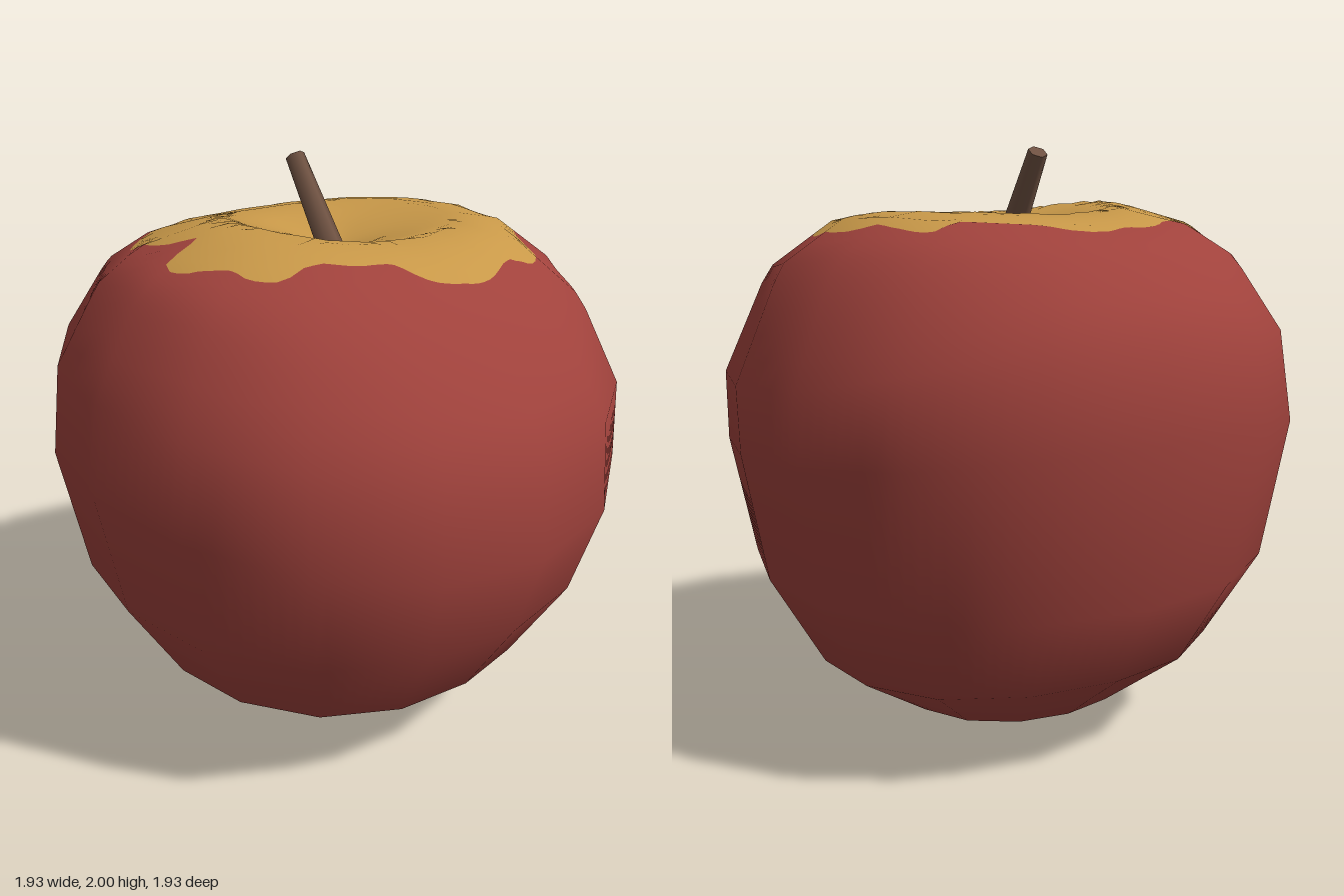
import * as THREE from 'three';

const TAU = Math.PI * 2, SIDES = 16, COLS = 128, LAST = 11;

// Profiles [radius, height] from the bottom hollow to the top hollow, one per side.
const leftSide = [[0, .07], [.23, .005], [.43, .1], [.7, .28], [.88, .6], [.955, 1.03], [.96, 1.25], [.8, 1.62], [.58, 1.77], [.42, 1.79], [.15, 1.74], [0, 1.68]];
const rightSide = [[0, .07], [.18, 0], [.43, .11], [.7, .32], [.89, .64], [.97, 1.07], [.935, 1.37], [.79, 1.64], [.66, 1.75], [.39, 1.83], [.15, 1.75], [0, 1.68]];
const frontSide = [[0, .07], [.2, .01], [.45, .13], [.68, .31], [.87, .62], [.965, .92], [.935, 1.24], [.8, 1.47], [.59, 1.69], [.36, 1.79], [.15, 1.74], [0, 1.68]];
const backSide = [[0, .07], [.17, 0], [.45, .11], [.73, .34], [.89, .63], [.965, 1.14], [.91, 1.44], [.74, 1.65], [.56, 1.74], [.35, 1.78], [.15, 1.73], [0, 1.68]];

// Wavy edge of the yellow crown, as x, z pairs around the stem.
const crownEdge = [[.65, .07], [.63, -.1], [.56, -.25], [.47, -.42], [.38, -.43], [.2, -.52], [0, -.59], [-.12, -.555], [-.23, -.54],
  [-.38, -.42], [-.52, -.41], [-.58, -.35], [-.59, -.22], [-.56, -.13], [-.5, -.08], [-.6, -.03], [-.67, .01], [-.65, .1], [-.58, .2],
  [-.57, .28], [-.5, .35], [-.4, .34], [-.27, .41], [-.16, .45], [-.1, .54], [0, .585], [.12, .58], [.27, .52], [.42, .5], [.5, .43],
  [.52, .34], [.6, .25]];

function profileAt(profile, t) {
  const i = Math.min(Math.floor(t), LAST - 1), f = t - i;
  return [0, 1].map(k => profile[i][k] * (1 - f) + profile[i + 1][k] * f);
}

// Rounded skin: the side profiles blended around the axis.
function skin(a, t) {
  const c = Math.cos(a), s = Math.sin(a);
  const px = profileAt(c > 0 ? leftSide : rightSide, t);
  const pz = profileAt(s > 0 ? frontSide : backSide, t);
  const r = (px[0] * c * c + pz[0] * s * s) * (1 + .025 * Math.sin(2 * a) ** 2);
  return new THREE.Vector3(r * c, px[1] * c * c + pz[1] * s * s, r * s);
}

// The same skin flattened between a few coarse columns.
function facet(a, t) {
  const step = TAU / SIDES, k = Math.floor(a / step + 1e-6), d = a - k * step;
  const f = Math.sin(d) / (Math.sin(d) + Math.sin(step - d));
  return skin(k * step, t).lerp(skin((k + 1) * step, t), f);
}

function skinNormal(a, t) {
  if (t < .01) return new THREE.Vector3(0, -1, 0);
  if (t > LAST - .01) return new THREE.Vector3(0, 1, 0);
  const up = skin(a, Math.min(t + .5, LAST)).sub(skin(a, Math.max(t - .5, 0)));
  const around = skin(a + .2, t).sub(skin(a - .2, t));
  return up.cross(around).normalize();
}

// Row position where the crown edge crosses the column at angle a.
const edgePoints = new THREE.CatmullRomCurve3(crownEdge.map(([x, z]) => new THREE.Vector3(x, 0, z)), true)
  .getPoints(400).map(p => [(Math.atan2(p.z, p.x) + TAU) % TAU, Math.hypot(p.x, p.z)]);
function edgeRow(a) {
  let best = edgePoints[0], gap = 9;
  for (const p of edgePoints) {
    const d = Math.abs(p[0] - a), g = Math.min(d, TAU - d);
    if (g < gap) { gap = g; best = p; }
  }
  let lo = 6, hi = LAST;
  for (let i = 0; i < 25; i++) {
    const mid = (lo + hi) / 2, p = facet(a, mid);
    if (Math.hypot(p.x, p.z) > best[1]) lo = mid; else hi = mid;
  }
  return lo;
}

// Band of skin; rowsOf(column) lists its row positions from low to high.
function band(rowsOf) {
  const pos = [], nor = [], index = [];
  let n = 0;
  for (let j = 0; j <= COLS; j++) {
    const a = ((j % COLS) / COLS) * TAU, rows = rowsOf(j % COLS);
    n = rows.length;
    for (const t of rows) {
      pos.push(...facet(a, t).toArray());
      nor.push(...skinNormal(a, t).toArray());
    }
  }
  for (let j = 0; j < COLS; j++) for (let i = 0; i < n - 1; i++) {
    const p = j * n + i, q = p + n;
    index.push(p, p + 1, q, p + 1, q + 1, q);
  }
  const g = new THREE.BufferGeometry();
  g.setAttribute('position', new THREE.Float32BufferAttribute(pos, 3));
  g.setAttribute('normal', new THREE.Float32BufferAttribute(nor, 3));
  g.setIndex(index);
  return g;
}

const ramp = (from, to, n) => Array.from({ length: n + 1 }, (_, i) => from + (to - from) * i / n);

export function createModel() {
  const material = (name, color) => Object.assign(new THREE.MeshStandardMaterial({ color }), { name });
  const red = material('red skin', 0xa0423c);
  const yellow = material('yellow skin', 0xc89848);
  const brown = material('brown wood', 0x6f5242);

  const group = new THREE.Group();
  group.name = 'apple';
  const add = (name, geometry, mat) => {
    const mesh = new THREE.Mesh(geometry, mat);
    mesh.name = name;
    group.add(mesh);
    return mesh;
  };

  // Skin, split along the crown edge and a small patch underneath
  const edge = Array.from({ length: COLS }, (_, j) => edgeRow(j / COLS * TAU));
  const patch = j => .65 + .2 * Math.sin(j / COLS * TAU * 3) + .08 * Math.sin(j / COLS * TAU * 7);
  add('body', band(j => [patch(j), 1, 2, 3, 4, 5, ...ramp(6, edge[j], 8)]), red);
  add('crown', band(j => ramp(edge[j], LAST, 12)), yellow);
  add('bottomPatch', band(j => ramp(0, patch(j), 2)), yellow);

  // Leaning, tapered stem
  const base = new THREE.Vector3(-.03, 1.66, .035), tip = new THREE.Vector3(-.022, 1.978, -.188);
  const axis = tip.clone().sub(base);
  const stem = add('stem', new THREE.CylinderGeometry(.033, .046, axis.length(), 6), brown);
  stem.position.copy(base).add(tip).multiplyScalar(.5);
  stem.quaternion.setFromUnitVectors(new THREE.Vector3(0, 1, 0), axis.normalize());

  // Dried blossom end in the bottom hollow
  const calyx = add('calyx', new THREE.ConeGeometry(.07, .05, 6), brown);
  calyx.rotation.x = Math.PI;
  calyx.position.y = .05;

  return group;
}
